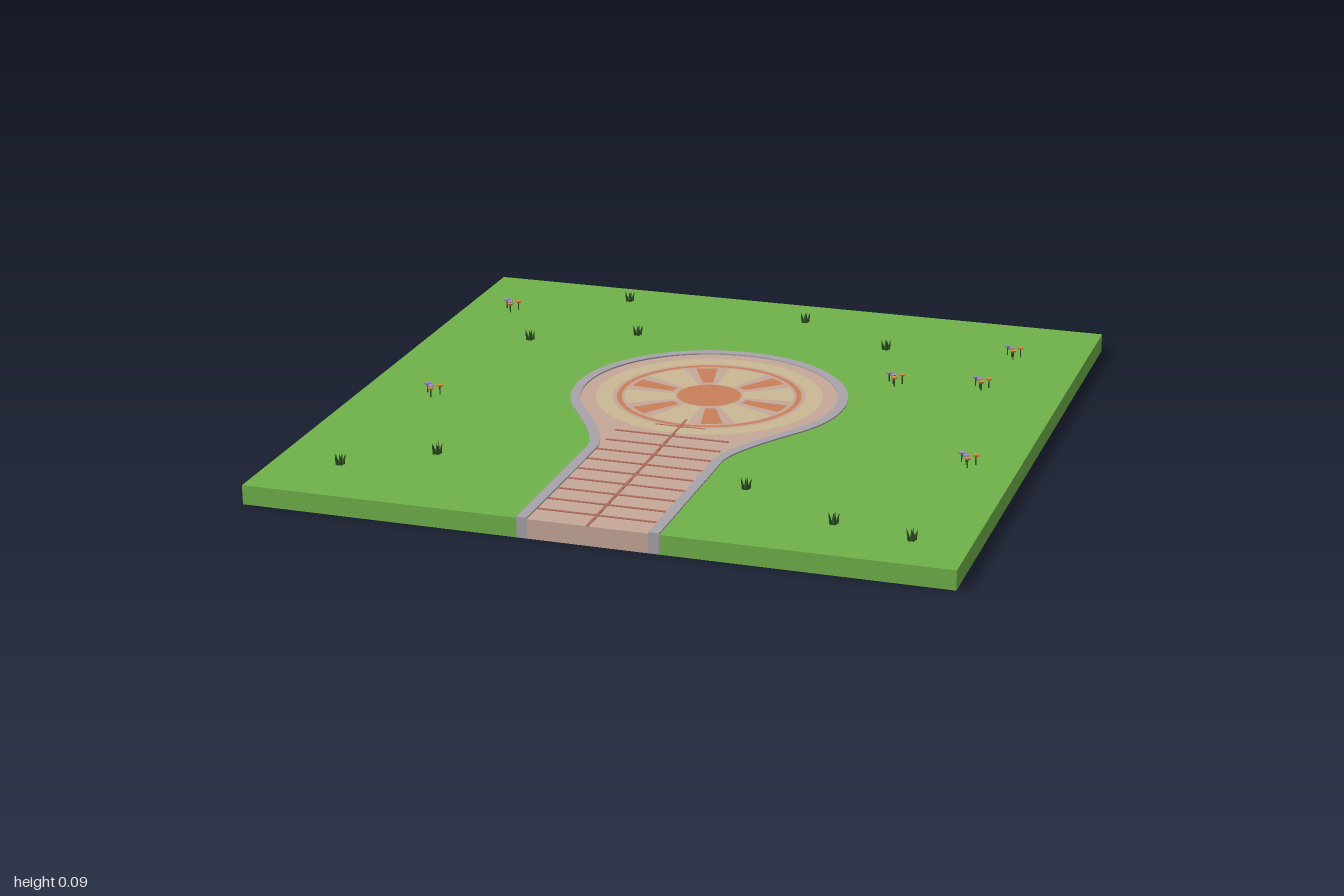
import * as THREE from 'three';

const mat = (name, color) => {
  const m = new THREE.MeshStandardMaterial({ color });
  m.name = name;
  return m;
};

// Outline of the keyhole plaza, inset by d; shape y is -z
const CY = 0.08;
function outline(d) {
  const r = 0.41 - d, hw = 0.2 - d, a = 0.595;
  const px = r * Math.cos(a), py = CY - r * Math.sin(a);
  const cy = py - ((px - hw) / Math.sin(a)) * Math.cos(a);
  const p = new THREE.Path();
  p.moveTo(-hw, -1);
  p.lineTo(-hw, -0.44);
  p.quadraticCurveTo(-hw, cy, -px, py);
  p.absarc(0, CY, r, Math.PI + a, -a, true);
  p.quadraticCurveTo(hw, cy, hw, -0.44);
  p.lineTo(hw, -1);
  return p.getPoints(24);
}

export function createModel() {
  const group = new THREE.Group();
  const grass = mat('lawn green', 0x6fb14a);
  const soil = mat('soil', 0x3a2823);
  const paving = mat('pink paving', 0xc6a798);
  const stone = mat('kerb grey', 0xa8a3aa);
  const sand = mat('sand paving', 0xcbb994);
  const terracotta = mat('terracotta', 0xc97f5a);
  const brick = mat('brick joint', 0xb06c5a);
  const leaf = mat('dark leaf', 0x2c5423);
  const violet = mat('violet petal', 0xa48bc8);
  const orange = mat('orange petal', 0xe0873f);

  const add = (name, geo, material, parent = group) => {
    const m = new THREE.Mesh(geo, material);
    m.name = name;
    parent.add(m);
    return m;
  };
  // Extrude a flat outline from just above the base up to the given height
  const slab = (name, pts, top, material) => {
    const g = new THREE.ExtrudeGeometry(new THREE.Shape(pts), { depth: top - 0.001, bevelEnabled: false });
    g.rotateX(-Math.PI / 2).translate(0, 0.001, 0);
    return add(name, g, material);
  };

  // Ground, plaza and kerb
  const v = (x, y) => new THREE.Vector2(x, y);
  const outer = outline(0), inner = outline(0.03);
  slab('lawn', [v(-1, -1), ...outer, v(1, -1), v(1, 1), v(-1, 1)], 0.057, grass);
  slab('plaza', inner, 0.057, paving);
  slab('kerb', [...outer, ...inner.slice().reverse()], 0.061, stone);
  add('underside', new THREE.PlaneGeometry(2, 2).rotateX(Math.PI / 2), soil);

  // Circular paving pattern, angles in degrees
  const ring = (name, r0, r1, y, material, mid = 0, width = 360) => {
    const rad = Math.PI / 180;
    const g = new THREE.RingGeometry(r0, r1, width === 360 ? 64 : 6, 1, (mid - width / 2) * rad, width * rad);
    add(name, g.rotateX(-Math.PI / 2).translate(0, y, -CY), material);
  };
  ring('sandRing', 0.285, 0.335, 0.0585, sand);
  ring('terracottaRing', 0.258, 0.273, 0.0585, terracotta);
  for (let i = 0; i < 6; i++) {
    ring('terracottaBlade', 0.115, 0.245, 0.0585, terracotta, 109 + i * 60, 15);
    ring('sandWedge', 0.1, 0.25, 0.0585, sand, 79 + i * 60, 28);
  }
  const hub = new THREE.CircleGeometry(0.095, 40).rotateX(-Math.PI / 2);
  add('hub', hub.translate(0, 0.059, -CY), terracotta);

  // Brick joints along the walk
  const strip = (name, x, z, w, d) =>
    add(name, new THREE.BoxGeometry(w, 0.002, d).translate(x, 0.058, z), brick);
  for (let i = 0; i < 9; i++) strip('crossJoint', 0, 0.28 + i * 0.08, 0.34, 0.008);
  strip('shortJoint', 0, 0.2, 0.15, 0.006);
  strip('centreJoint', 0, 0.57, 0.008, 0.86);

  // Grass tufts: leaning pointed blades around an upright one
  const blade = new THREE.ConeGeometry(0.006, 0.032, 4).translate(0, 0.016, 0);
  const tufts = [[-0.52, -0.88], [0.08, -0.84], [0.39, -0.655], [-0.385, -0.56], [-0.69, -0.415],
    [-0.585, 0.61], [0.32, 0.61], [-0.81, 0.77], [0.615, 0.785], [0.84, 0.835]];
  for (const [x, z] of tufts) {
    const tuft = new THREE.Group();
    tuft.name = 'grassTuft';
    tuft.position.set(x, 0.056, z);
    add('blade', blade, leaf, tuft);
    for (let i = 0; i < 5; i++) {
      const a = (i / 5) * Math.PI * 2 + Math.PI / 2;
      const g = blade.clone().rotateZ(-0.25).translate(0.008, 0, 0).rotateY(a);
      add('blade', g, leaf, tuft);
    }
    group.add(tuft);
  }

  // Flower clusters: thin stems with flat heads
  const stem = new THREE.CylinderGeometry(0.002, 0.002, 0.028, 5).translate(0, 0.014, 0);
  const head = new THREE.CylinderGeometry(0.01, 0.008, 0.005, 6).translate(0, 0.029, 0);
  const heads = [[-0.02, -0.016, violet], [-0.003, 0.002, violet], [0.022, -0.008, orange], [0.006, 0.024, orange]];
  const clusters = [[-0.85, -0.675], [0.78, -0.70], [0.75, -0.39], [0.495, -0.35], [-0.785, 0.155], [0.855, 0.25]];
  for (const [x, z] of clusters) {
    const cluster = new THREE.Group();
    cluster.name = 'flowerCluster';
    cluster.position.set(x, 0.056, z);
    for (const [dx, dz, petal] of heads) {
      add('stem', stem, leaf, cluster).position.set(dx, 0, dz);
      add('flowerHead', head, petal, cluster).position.set(dx, 0, dz);
    }
    group.add(cluster);
  }
  return group;
}
